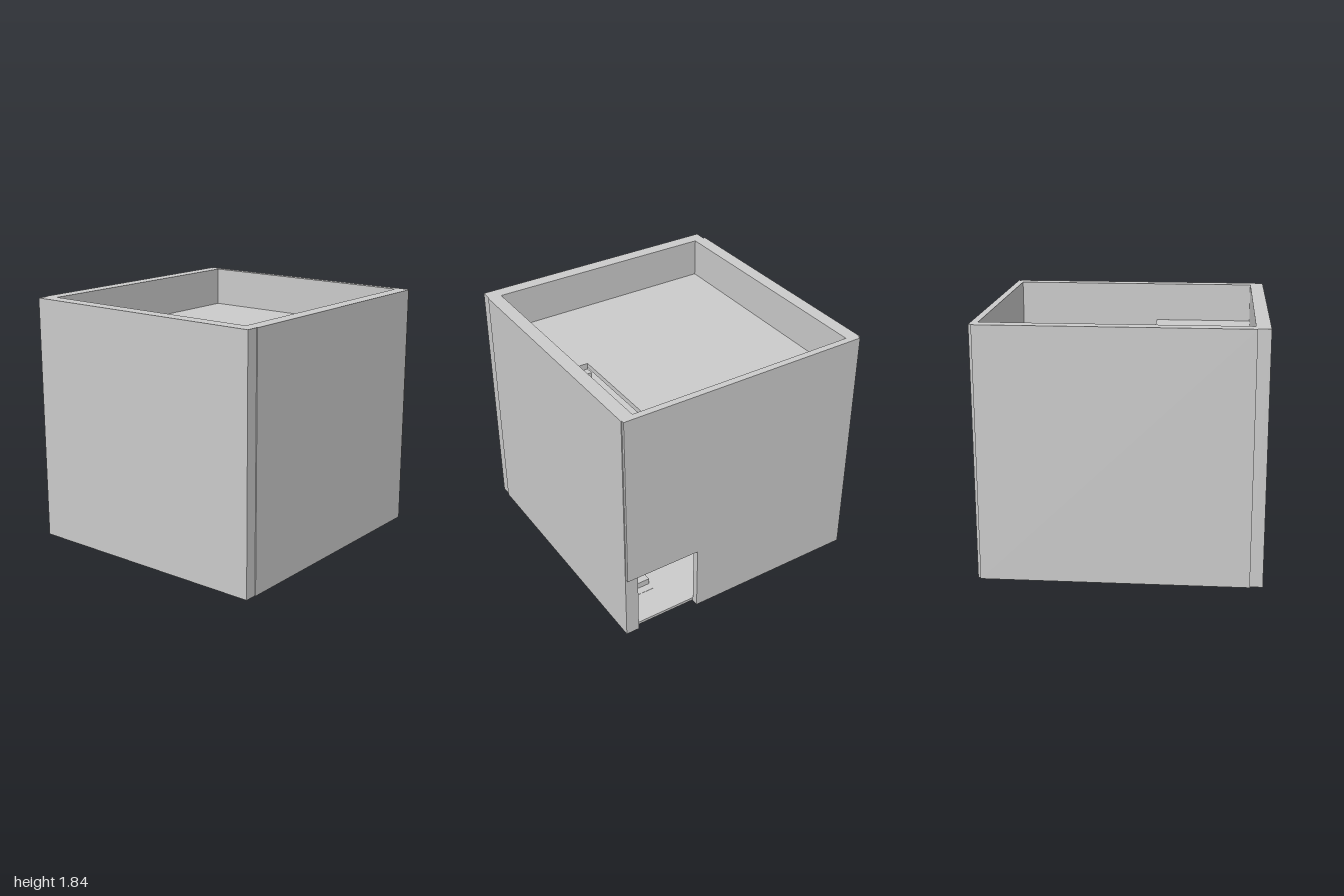
import * as THREE from 'three';

const material = new THREE.MeshStandardMaterial({ color: 0xcccccc, flatShading: true });

// Box given by its extents on each axis
function box(parent, name, [x0, x1], [y0, y1], [z0, z1]) {
  const mesh = new THREE.Mesh(new THREE.BoxGeometry(x1 - x0, y1 - y0, z1 - z0), material);
  mesh.position.set((x0 + x1) / 2, (y0 + y1) / 2, (z0 + z1) / 2);
  mesh.name = name;
  parent.add(mesh);
}

// Flight of separate steps climbing towards -x
function flight(parent, name, startX, startY, count) {
  const group = new THREE.Group();
  group.name = name;
  const run = 0.0573, rise = 0.0475, depth = 0.095, height = 0.05;
  for (let i = 0; i < count; i++) {
    const x = startX - i * run, y = startY + i * rise;
    box(group, 'step', [x - depth, x], [y, y + height], [0.57, 0.89]);
  }
  parent.add(group);
}

// Floor slab with a stairwell along the front wall between x0 and x1
function slab(parent, name, top, x0, x1) {
  const group = new THREE.Group();
  group.name = name;
  const y = [top - 0.037, top];
  box(group, 'slabMain', [-0.9, 0.95], y, [-0.86, 0.57]);
  box(group, 'slabBesideStairs', [-0.9, x0], y, [0.57, 0.86]);
  if (x1 < 0.95) box(group, 'slabLanding', [x1, 0.95], y, [0.57, 0.86]);
  parent.add(group);
}

export function createModel() {
  const model = new THREE.Group();
  model.name = 'building';
  const wallY = [0.02, 1.84];

  // Outer walls
  box(model, 'frontWall', [-0.91, 0.98], wallY, [0.86, 0.96]);
  box(model, 'backWall', [-0.91, 0.98], wallY, [-0.96, -0.86]);
  box(model, 'rightWall', [-1, -0.9], wallY, [-0.945, 0.953]);

  // Doorway wall: outline drawn in (-z, y), notched at the front corner
  const outline = new THREE.Shape([
    [-0.38, 0.02], [0.945, 0.02], [0.945, 1.84],
    [-0.953, 1.84], [-0.953, 0.525], [-0.38, 0.525],
  ].map(([x, y]) => new THREE.Vector2(x, y)));
  const doorWall = new THREE.Mesh(
    new THREE.ExtrudeGeometry(outline, { depth: 0.05, bevelEnabled: false }), material);
  doorWall.name = 'doorwayWall';
  doorWall.rotation.y = Math.PI / 2;
  doorWall.position.x = 0.95;
  model.add(doorWall);

  // Floors
  box(model, 'groundFloor', [-0.9, 0.95], [0.027, 0.048], [-0.86, 0.86]);
  slab(model, 'firstFloor', 0.547, -0.15, 0.95);
  slab(model, 'secondFloor', 1.047, -0.15, 0.365);
  slab(model, 'roofFloor', 1.546, -0.15, 0.95);

  // Stairs
  flight(model, 'lowerStairs', 0.71, 0, 11);
  flight(model, 'middleStairs', 0.365, 0.57, 10);
  flight(model, 'upperStairs', 0.365, 1.069, 10);

  return model;
}
